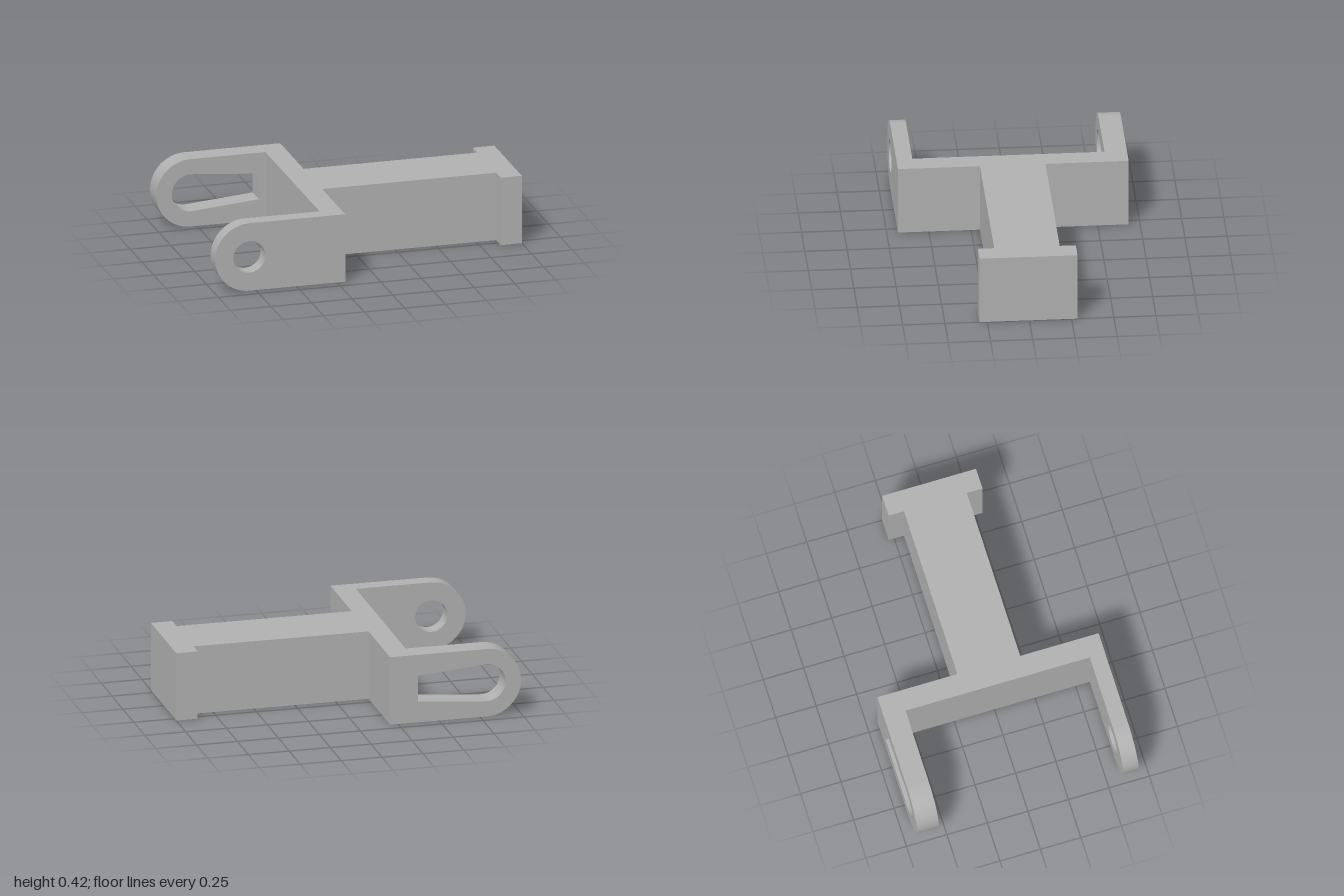
import * as THREE from 'three';
import { toCreasedNormals } from 'three/addons/utils/BufferGeometryUtils.js';

const H = 0.42, R = H / 2;      // height and arm end radius
const PIVOT = -0.79;            // x of the rounded arm ends
const BRIDGE = -0.33;           // x where the arms meet the bridge

function extrude(shape, depth) {
  const geo = new THREE.ExtrudeGeometry(shape, { depth, bevelEnabled: false, curveSegments: 32 });
  return toCreasedNormals(geo, 0.5);
}

// Fork arm: flat strip with a rounded end and one opening
function armGeometry(hole, z0, z1) {
  const s = new THREE.Shape();
  s.moveTo(BRIDGE, 0);
  s.lineTo(BRIDGE, H);
  s.lineTo(PIVOT, H);
  s.absarc(PIVOT, R, R, Math.PI / 2, Math.PI * 1.5, false);
  s.closePath();
  s.holes.push(hole);
  return extrude(s, z1 - z0).translate(0, 0, z0);
}

function roundHole(r) {
  return new THREE.Path().absarc(PIVOT, R, r, 0, Math.PI * 2, false);
}

// Slot with a flat narrow end that widens tangentially into a round end
function taperedSlot(endX, half, r) {
  const dx = endX - PIVOT;
  const a = Math.atan2(half, dx) + Math.acos(r / Math.hypot(dx, half));
  const p = new THREE.Path();
  p.moveTo(endX, R - half);
  p.lineTo(endX, R + half);
  p.absarc(PIVOT, R, r, a, Math.PI * 2 - a, false);
  p.closePath();
  return p;
}

export function createModel() {
  const group = new THREE.Group();
  const grey = new THREE.MeshStandardMaterial({ color: 0xb0b0b0 });
  grey.name = 'grey';
  const add = (name, geo) => {
    const mesh = new THREE.Mesh(geo, grey);
    mesh.name = name;
    group.add(mesh);
  };

  // Bridge, bar and end flange as one plan outline (x, z)
  const plan = [
    [BRIDGE, 0.683], [-0.2, 0.683], [-0.2, 0.198], [0.87, 0.198], [0.87, 0.295], [1, 0.295],
    [1, -0.285], [0.87, -0.285], [0.87, -0.19], [-0.2, -0.19], [-0.2, -0.683], [BRIDGE, -0.683],
  ].map(([x, z]) => new THREE.Vector2(x, -z));
  add('body', extrude(new THREE.Shape(plan), H).rotateX(-Math.PI / 2));

  // Fork arms: thin one with a round hole, thick one with a slot
  add('frontArm', armGeometry(roundHole(0.098), 0.588, 0.683));
  add('backArm', armGeometry(taperedSlot(-0.37, 0.08, 0.115), -0.683, -0.55));
  return group;
}
